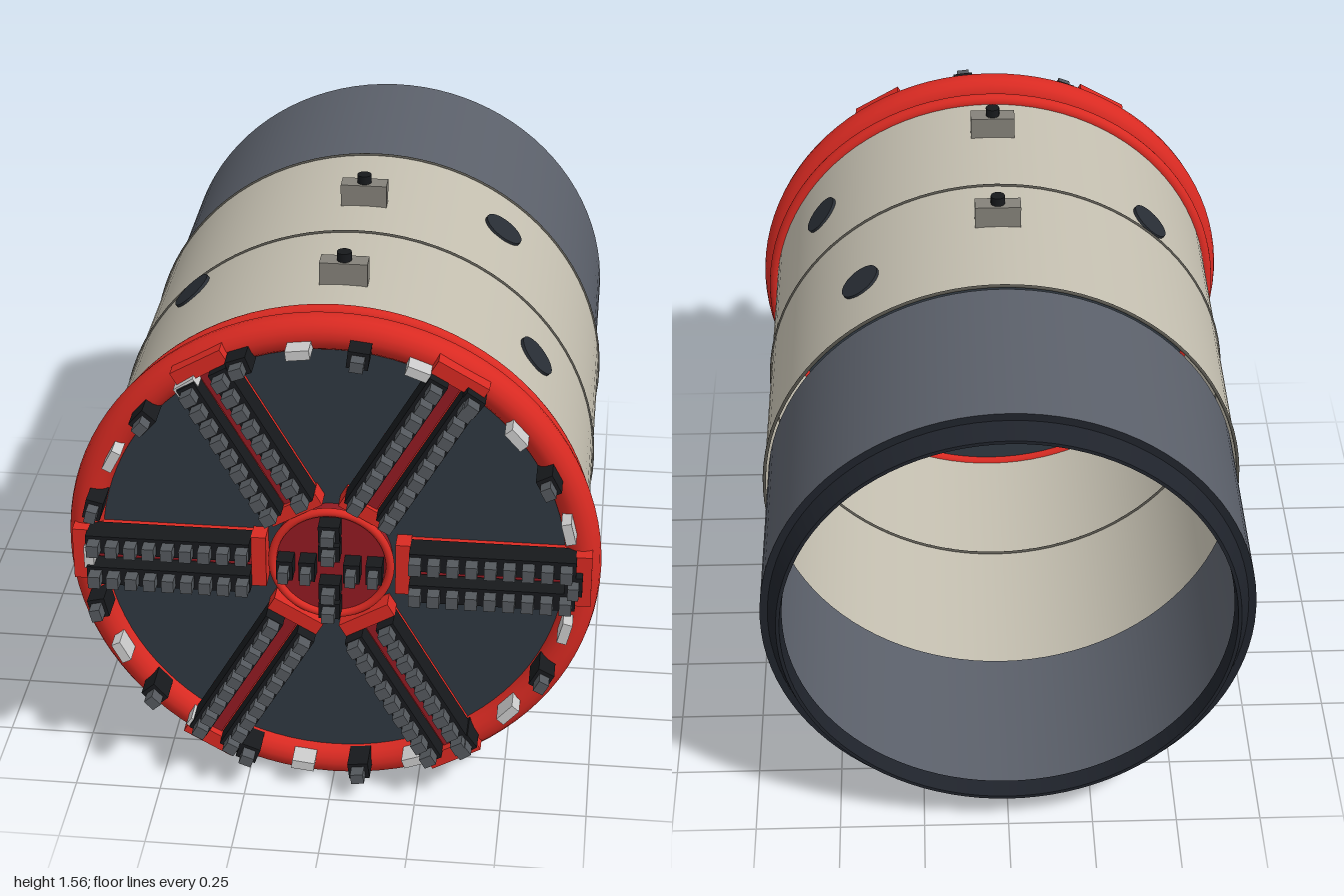
import * as THREE from 'three';

const mat = (color, side = THREE.FrontSide) => new THREE.MeshStandardMaterial({ color, side });
const RED = mat(0xd92a22), DARK_RED = mat(0x921a22), BLACK = mat(0x17191c), TIP = mat(0x54585d);
const WHITE = mat(0xcfcfcf), DISC = mat(0x2f3841), PORT = mat(0x292e35), SEAM = mat(0x55534c);
const SKIN = mat(0xc4bfb0, THREE.DoubleSide), TAIL = mat(0x5b606a, THREE.DoubleSide);
const RIM = mat(0x1f232b, THREE.DoubleSide), LUG = mat(0x85827a);
const SEG = 96;

function add(parent, name, geometry, material, x = 0, y = 0, z = 0) {
  const mesh = new THREE.Mesh(geometry, material);
  mesh.name = name;
  mesh.position.set(x, y, z);
  parent.add(mesh);
  return mesh;
}

// Box spanning z0..z1, centred on x, y
function block(parent, name, material, x, y, w, h, z0, z1) {
  return add(parent, name, new THREE.BoxGeometry(w, h, z1 - z0), material, x, y, (z0 + z1) / 2);
}

// Cylinder or open tube along z
function drum(parent, name, material, r, z0, z1, open = false) {
  const g = new THREE.CylinderGeometry(r, r, z1 - z0, SEG, 1, open).rotateX(Math.PI / 2);
  return add(parent, name, g, material, 0, 0, (z0 + z1) / 2);
}

function ring(parent, name, material, r, tube, z) {
  return add(parent, name, new THREE.TorusGeometry(r, tube, 16, SEG), material, 0, 0, z);
}

function sector(parent, name, angle) {
  const g = new THREE.Group();
  g.name = name;
  g.rotation.z = angle;
  parent.add(g);
  return g;
}

// Black holder with a grey cutting tip
function cutter(parent, name, x, y, w, h) {
  block(parent, name + 'Holder', BLACK, x, y, w, h, 0.87, 0.96);
  block(parent, name + 'Tip', TIP, x, y, w * 0.62, h * 0.62, 0.95, 1.0);
}

function buildBody(body) {
  drum(body, 'shieldSkin', SKIN, 0.713, -0.33, 0.75, true);
  drum(body, 'tailSkin', TAIL, 0.702, -0.94, -0.33, true);
  for (const z of [0.23, -0.33]) ring(body, 'seamRing', SEAM, 0.713, 0.005, z);

  // Tapered rim around the open rear
  const profile = [[0.64, -0.94], [0.702, -0.94], [0.68, -0.941], [0.655, -1], [0.645, -1], [0.64, -0.94]];
  for (let i = 0; i < profile.length - 1; i++) {
    const pts = [profile[i], profile[i + 1]].map(([r, z]) => new THREE.Vector2(r, z));
    add(body, 'rearRim', new THREE.LatheGeometry(pts, SEG).rotateX(Math.PI / 2), RIM);
  }

  // Round ports through the shield: angle about the axis, z
  for (const [deg, z] of [[40.7, 0.48], [55, -0.1], [-28.5, 0.13], [132, 0.3]]) {
    const g = sector(body, 'portMount', THREE.MathUtils.degToRad(deg));
    add(g, 'port', new THREE.CylinderGeometry(0.064, 0.064, 0.03, 32).rotateZ(Math.PI / 2), PORT, 0.705, 0, z);
  }

  // Lugs along the top
  for (const z of [0.55, 0.02]) {
    block(body, 'topLug', LUG, 0, 0.74, 0.136, 0.075, z - 0.028, z + 0.028);
    add(body, 'lugPin', new THREE.CylinderGeometry(0.021, 0.021, 0.03, 20), BLACK, 0, 0.788, z);
  }
}

function buildSpoke(head, angle) {
  const s = sector(head, 'spoke', angle);
  block(s, 'spokeBeam', RED, 0.457, 0, 0.545, 0.15, 0.83, 0.9);
  block(s, 'spokeChannel', DARK_RED, 0.457, 0, 0.465, 0.038, 0.89, 0.906);
  block(s, 'spokeInnerEnd', RED, 0.204, 0, 0.042, 0.16, 0.85, 0.92);
  block(s, 'spokeOuterEnd', RED, 0.71, 0, 0.045, 0.16, 0.85, 0.93);
  for (const side of [-1, 1]) {
    block(s, 'cutterRail', BLACK, 0.457, side * 0.051, 0.465, 0.056, 0.88, 0.96);
    for (let i = 0; i < 9; i++) {
      block(s, 'spokeTip', TIP, 0.243 + i * 0.0525, side * 0.051, 0.034, 0.037, 0.95, 1.0);
    }
  }
}

function buildHead(head) {
  drum(head, 'headDisc', DISC, 0.695, 0.745, 0.86);
  ring(head, 'headRing', RED, 0.706, 0.051, 0.845);
  ring(head, 'collarRing', RED, 0.717, 0.021, 0.753);

  for (let i = 0; i < 6; i++) buildSpoke(head, (i * Math.PI) / 3);

  // Hub with a cross of cutters
  drum(head, 'hub', DARK_RED, 0.17, 0.84, 0.905);
  ring(head, 'hubRing', RED, 0.167, 0.012, 0.905);
  for (let i = 0; i < 4; i++) {
    const arm = sector(head, 'hubArm', (i * Math.PI) / 2);
    for (const r of [0.063, 0.126]) {
      if (i % 2) cutter(arm, 'hub', r, 0, 0.05, 0.06);
      else cutter(arm, 'hub', r, 0, 0.046, 0.06);
    }
  }

  // Rim: gauge cutters alternating with pale scrapers
  const n = 13;
  for (let i = 0; i < n; i++) {
    const a = (i * 2 * Math.PI) / n;
    cutter(sector(head, 'gaugeMount', a), 'gauge', 0.683, 0, 0.05, 0.06);
    const s = sector(head, 'scraperMount', a + Math.PI / n);
    block(s, 'scraper', WHITE, 0.684, 0, 0.028, 0.066, 0.86, 0.95);
  }
}

export function createModel() {
  const model = new THREE.Group();
  model.name = 'tunnelBoringMachine';
  for (const [name, build] of [['shieldBody', buildBody], ['cutterHead', buildHead]]) {
    const g = new THREE.Group();
    g.name = name;
    g.position.y = 0.757;
    build(g);
    model.add(g);
  }
  return model;
}
